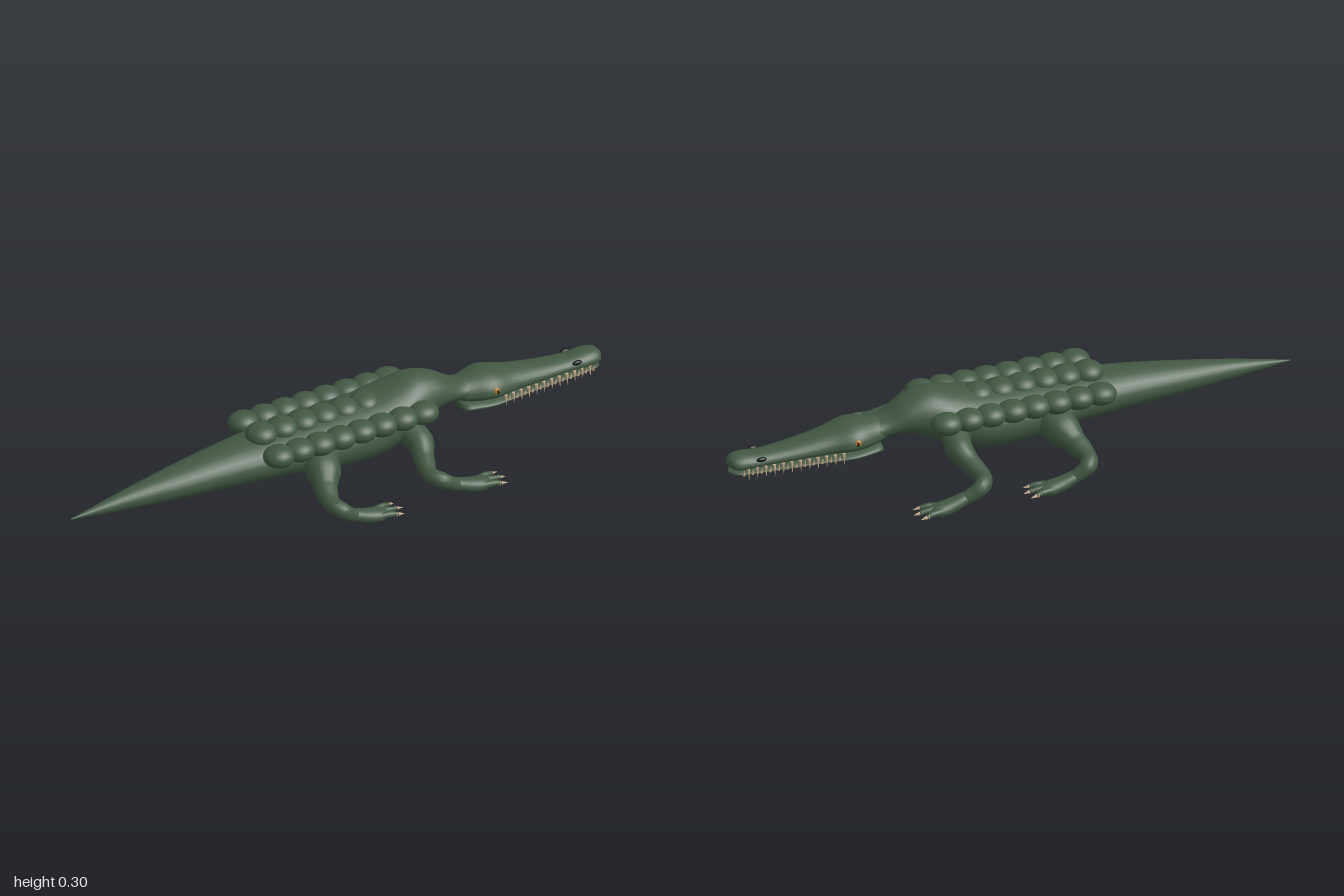
import * as THREE from 'three';

const mat = (name, color) => Object.assign(new THREE.MeshStandardMaterial({ color }), { name });
const V = (x, y, z) => new THREE.Vector3(x, y, z);

// Closed smooth skin over a list of equal rings of points
function skin(rings) {
  const n = rings[0].length, pos = [], idx = [];
  rings.forEach(r => r.forEach(p => pos.push(p.x, p.y, p.z)));
  for (let i = 0; i < rings.length - 1; i++) {
    for (let j = 0; j < n; j++) {
      const k = (j + 1) % n, a = i * n + j, a1 = i * n + k;
      idx.push(a, a1, a + n, a1, a1 + n, a + n);
    }
  }
  [[0, false], [rings.length - 1, true]].forEach(([r, end]) => {
    const c = rings[r].reduce((s, p) => s.add(p), V(0, 0, 0)).divideScalar(n);
    const ci = pos.length / 3;
    pos.push(c.x, c.y, c.z);
    for (let j = 0; j < n; j++) {
      const a = r * n + j, b = r * n + (j + 1) % n;
      idx.push(ci, end ? a : b, end ? b : a);
    }
  });
  const g = new THREE.BufferGeometry();
  g.setAttribute('position', new THREE.Float32BufferAttribute(pos, 3));
  g.setIndex(idx);
  g.computeVertexNormals();
  return g;
}

// Loft along x through sections [x, top, bottom, halfWidth], widest at fraction mid
function loft(sections, mid = 0.5, zc = 0) {
  const a = new THREE.CatmullRomCurve3(sections.map(s => V(s[0], s[1], s[2])), false, 'catmullrom', 0.5);
  const b = new THREE.CatmullRomCurve3(sections.map(s => V(s[3], s[0], 0)), false, 'catmullrom', 0.5);
  const steps = (sections.length - 1) * 5, rings = [];
  for (let i = 0; i <= steps; i++) {
    const p = a.getPoint(i / steps), w = Math.max(b.getPoint(i / steps).x, 0.001);
    const yc = p.z + (p.y - p.z) * mid, ring = [];
    for (let j = 0; j < 28; j++) {
      const t = j / 28 * Math.PI * 2, c = Math.cos(t);
      ring.push(V(p.x, yc + c * (c > 0 ? p.y - yc : yc - p.z), zc + Math.sin(t) * w));
    }
    rings.push(ring);
  }
  return skin(rings);
}

// Round limb through points [x, y, z, radius]
function limb(points) {
  const path = new THREE.CatmullRomCurve3(points.map(p => V(p[0], p[1], p[2])), false, 'catmullrom', 0.5);
  const steps = (points.length - 1) * 6, f = path.computeFrenetFrames(steps), rings = [];
  for (let i = 0; i <= steps; i++) {
    const u = path.getUtoTmapping(i / steps), q = u * (points.length - 1);
    const k = Math.min(Math.floor(q), points.length - 2);
    const r = THREE.MathUtils.lerp(points[k][3], points[k + 1][3], THREE.MathUtils.smoothstep(q - k, 0, 1));
    const c = path.getPointAt(i / steps), ring = [];
    for (let j = 0; j < 16; j++) {
      const t = j / 16 * Math.PI * 2;
      ring.push(c.clone().addScaledVector(f.normals[i], Math.cos(t) * r).addScaledVector(f.binormals[i], Math.sin(t) * r));
    }
    rings.push(ring);
  }
  return skin(rings);
}

export function createModel() {
  const model = new THREE.Group();
  model.name = 'crocodile';
  const hide = mat('hide green', 0x435844);
  const ivory = mat('ivory', 0xcdb08e);
  const amber = mat('amber', 0xc07a1c);
  const black = mat('black', 0x101210);

  const add = (name, geo, m, parent = model) => {
    const mesh = new THREE.Mesh(geo, m);
    mesh.name = name;
    parent.add(mesh);
    return mesh;
  };
  const group = name => {
    const g = new THREE.Group();
    g.name = name;
    model.add(g);
    return g;
  };
  const ball = new THREE.SphereGeometry(1, 24, 16);
  const blob = (name, m, p, s, parent) => {
    const b = add(name, ball, m, parent);
    b.position.set(...p);
    b.scale.set(...s);
    return b;
  };
  // Cone from a base point to a tip
  const spike = (name, from, to, r, parent) => {
    const d = to.clone().sub(from), s = add(name, new THREE.ConeGeometry(r, d.length(), 8), ivory, parent);
    s.position.copy(from).addScaledVector(d, 0.5);
    s.quaternion.setFromUnitVectors(V(0, 1, 0), d.normalize());
  };

  // Tail, trunk and neck in one skin
  add('body', loft([
    [-1, 0.133, 0.129, 0.002], [-0.8, 0.174, 0.111, 0.034], [-0.6, 0.206, 0.1, 0.067],
    [-0.4, 0.231, 0.093, 0.095], [-0.2, 0.245, 0.083, 0.122], [-0.05, 0.252, 0.06, 0.135],
    [0.1, 0.26, 0.057, 0.137], [0.2, 0.28, 0.08, 0.125], [0.29, 0.3, 0.12, 0.1],
    [0.37, 0.28, 0.155, 0.078], [0.45, 0.23, 0.16, 0.06], [0.52, 0.222, 0.155, 0.06],
  ]), hide);

  // Upper head and snout, then the lower jaw
  add('head', loft([
    [0.43, 0.222, 0.165, 0.045], [0.49, 0.229, 0.143, 0.067], [0.565, 0.236, 0.14, 0.09],
    [0.65, 0.217, 0.14, 0.07], [0.75, 0.199, 0.14, 0.058], [0.87, 0.187, 0.14, 0.048],
    [0.94, 0.191, 0.138, 0.049], [0.98, 0.187, 0.141, 0.041], [0.996, 0.175, 0.153, 0.02],
    [1, 0.166, 0.162, 0.003],
  ], 0.4), hide);
  add('lowerJaw', loft([
    [0.465, 0.147, 0.113, 0.058], [0.565, 0.144, 0.113, 0.076], [0.66, 0.136, 0.115, 0.062],
    [0.78, 0.134, 0.118, 0.051], [0.92, 0.136, 0.121, 0.044], [0.975, 0.136, 0.124, 0.035],
    [0.995, 0.132, 0.128, 0.008],
  ]), hide);

  // Three rows of back scutes
  const scutes = group('scutes');
  for (let i = 0; i < 8; i++) {
    const x = -0.28 + i * 0.078;
    for (const z of [-0.12, 0.12]) blob('sideScute', hide, [x, 0.22, z], [0.054, 0.036, 0.051], scutes);
    if (i < 6) blob('middleScute', hide, [x, 0.24, 0], [0.054, 0.037, 0.056], scutes);
  }

  for (const s of [-1, 1]) {
    const side = s > 0 ? 'front' : 'back';

    // Eyes and nostrils
    const face = group(side + 'SideFace');
    blob('eye', amber, [0.566, 0.188, s * 0.082], [0.013, 0.013, 0.008], face);
    blob('pupil', black, [0.568, 0.188, s * 0.088], [0.004, 0.009, 0.0035], face);
    blob('nostril', black, [0.893, 0.175, s * 0.042], [0.018, 0.008, 0.008], face);

    // Interlocking teeth along the jaw edge
    const teeth = group(side + 'SideTeeth');
    for (let i = 0; i < 12; i++) {
      const x = 0.61 + i * 0.03, w = 0.069 - 0.023 * i / 11;
      spike('upperTooth', V(x, 0.151, s * (w - 0.004)), V(x, 0.111, s * (w + 0.003)), 0.006, teeth);
      spike('lowerTooth', V(x + 0.015, 0.127, s * (w - 0.006)), V(x + 0.015, 0.153, s * (w + 0.003)), 0.005, teeth);
    }

    // Legs: hip, knee, ankle, then foot pointing forward
    const legs = {
      frontLeg: { foot: 0.26, path: [[0.22, 0.155, 0.08, 0.05], [0.235, 0.135, 0.15, 0.046], [0.215, 0.105, 0.22, 0.034],
        [0.2, 0.09, 0.285, 0.027], [0.222, 0.083, 0.325, 0.028], [0.26, 0.058, 0.325, 0.024], [0.3, 0.038, 0.322, 0.02]] },
      rearLeg: { foot: -0.13, path: [[-0.11, 0.155, 0.07, 0.07], [-0.13, 0.135, 0.15, 0.06], [-0.158, 0.105, 0.22, 0.039],
        [-0.17, 0.09, 0.285, 0.029], [-0.158, 0.083, 0.322, 0.029], [-0.125, 0.058, 0.325, 0.024], [-0.09, 0.038, 0.322, 0.02]] },
    };
    for (const [name, { foot, path }] of Object.entries(legs)) {
      const g = group(name);
      add('leg', limb(path.map(([x, y, z, r]) => [x, y, s * z, r])), hide, g);
      add('foot', loft([
        [foot - 0.02, 0.07, 0.045, 0.012], [foot + 0.02, 0.07, 0.025, 0.024], [foot + 0.07, 0.056, 0.006, 0.031],
        [foot + 0.115, 0.046, 0.001, 0.034], [foot + 0.145, 0.036, 0.013, 0.028],
      ], 0.5, s * 0.322), hide, g);
      for (const t of [-1, 0, 1]) {
        const x = foot + 0.105, z = s * 0.322, reach = t ? 0 : 0.012;
        add('toe', limb([[x, 0.026, z + t * 0.02, 0.013], [x + 0.035, 0.029, z + t * 0.028, 0.011],
          [x + 0.065 + reach, 0.025, z + t * 0.033, 0.008]]), hide, g);
        spike('claw', V(x + 0.058 + reach, 0.026, z + t * 0.033), V(x + 0.089 + reach, 0.021, z + t * 0.037), 0.0085, g);
      }
    }
  }
  return model;
}
